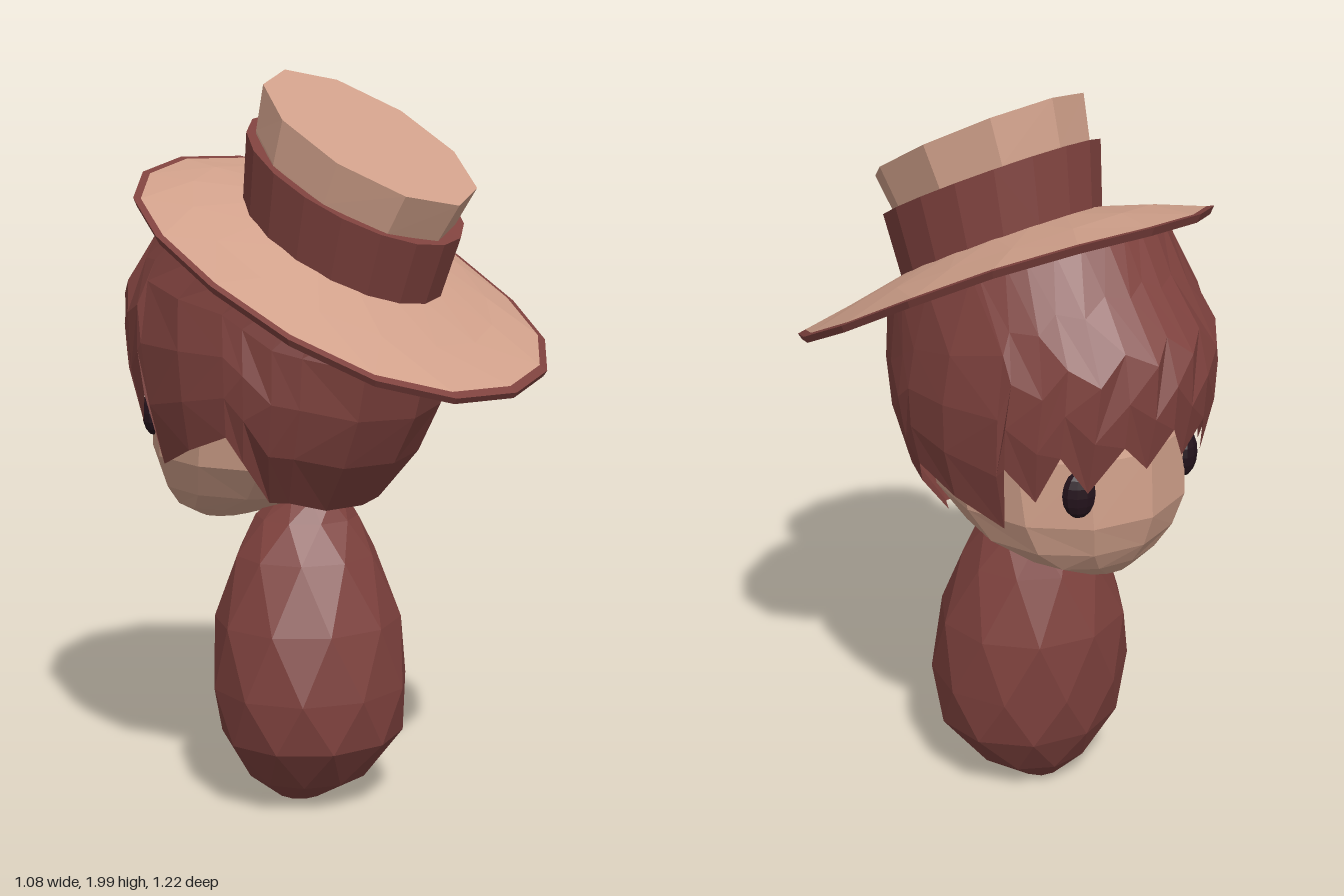
import * as THREE from 'three';

const material = (color) => new THREE.MeshStandardMaterial({ color, flatShading: true, side: THREE.DoubleSide });
const red = material(0x7f423e);
const tan = material(0xd0a08a);
const dark = material(0x24131c);

// Skins a grid of rings (bottom to top, counter-clockwise from above).
function skin(name, rows, mat, capBottom = false, capTop = false) {
  const n = rows[0].length, pos = rows.flat(2), idx = [];
  for (let j = 0; j < rows.length - 1; j++) {
    for (let i = 0; i < n; i++) {
      const a = j * n + i, b = j * n + (i + 1) % n, c = b + n, d = a + n;
      if (j % 2) idx.push(a, b, c, a, c, d);
      else idx.push(a, b, d, b, c, d);
    }
  }
  const cap = (j, up) => {
    const mid = [0, 1, 2].map((k) => rows[j].reduce((s, p) => s + p[k], 0) / n);
    const m = pos.length / 3;
    pos.push(...mid);
    for (let i = 0; i < n; i++) {
      const a = j * n + i, b = j * n + (i + 1) % n;
      idx.push(...(up ? [m, a, b] : [m, b, a]));
    }
  };
  if (capBottom) cap(0, false);
  if (capTop) cap(rows.length - 1, true);
  const geo = new THREE.BufferGeometry();
  geo.setAttribute('position', new THREE.Float32BufferAttribute(pos, 3));
  geo.setIndex(idx);
  geo.computeVertexNormals();
  const mesh = new THREE.Mesh(geo, mat);
  mesh.name = name;
  return mesh;
}

// Elliptical ring; slope raises it towards -z, shift turns it by part of a side.
function ring(n, y, cx, cz, rx, rz, slope = 0, shift = 0, wave = 0) {
  return Array.from({ length: n }, (_, i) => {
    const t = ((i + shift) / n) * Math.PI * 2;
    const z = rz * Math.cos(t);
    return [cx + rx * Math.sin(t), y - slope * z + wave * Math.sin(3 * t + 0.6), cz + z];
  });
}

// Piecewise linear lookup in a table of [key, ...values].
function lookup(table, key) {
  let i = 1;
  while (i < table.length - 1 && table[i][0] < key) i++;
  const a = table[i - 1], b = table[i];
  const f = THREE.MathUtils.clamp((key - a[0]) / (b[0] - a[0]), 0, 1);
  return a.slice(1).map((v, k) => v + (b[k + 1] - v) * f);
}

function createBody() {
  // y, cx, cz, rx, rz
  const sections = [
    [0.01, -0.02, -0.08, 0.06, 0.06], [0.08, -0.02, -0.05, 0.17, 0.16],
    [0.2, -0.02, -0.035, 0.265, 0.24], [0.34, -0.02, -0.04, 0.285, 0.26],
    [0.52, -0.015, -0.055, 0.265, 0.25], [0.7, -0.01, -0.065, 0.2, 0.19],
    [0.8, 0, -0.07, 0.14, 0.14], [0.86, 0, -0.05, 0.09, 0.09],
  ];
  const rows = sections.map((s, j) => ring(10, ...s, 0, (j % 2) * 0.5));
  return skin('body', rows, red, true, true);
}

function createHead() {
  const head = new THREE.Group();
  head.name = 'head';
  const sections = [
    [0.775, 0, -0.35, 0.09, 0.07], [0.82, 0, -0.3, 0.2, 0.16], [0.88, 0, -0.22, 0.28, 0.28],
    [0.97, 0, -0.18, 0.325, 0.35], [1.15, 0, -0.15, 0.34, 0.37], [1.4, 0, -0.15, 0.28, 0.28],
  ];
  head.add(skin('face', sections.map((s) => ring(12, ...s)), tan, true, true));
  for (const side of [-1, 1]) {
    const eye = new THREE.Mesh(new THREE.SphereGeometry(1, 10, 8), dark);
    eye.name = side > 0 ? 'leftEye' : 'rightEye';
    eye.scale.set(0.045, 0.065, 0.03);
    eye.position.set(side * 0.19, 1.07, -0.455);
    eye.rotation.y = -side * 0.45;
    head.add(eye);
  }
  return head;
}

function createHair() {
  // Ragged hem: angle from the +z side, height
  const hem = [
    [0, 0.85], [28, 0.85], [50, 0.88], [60, 0.88], [70, 1.0], [77, 1.07], [95, 1.02], [116, 0.96],
    [119, 1.15], [130, 1.06], [138, 1.2], [149, 1.09], [160, 1.22], [171, 1.14], [180, 1.24],
  ];
  // Outline: y, cz, rx, rz
  const outline = [
    [0.85, -0.16, 0.25, 0.28], [0.95, -0.15, 0.345, 0.36], [1.1, -0.135, 0.39, 0.425],
    [1.25, -0.135, 0.41, 0.465], [1.42, -0.15, 0.39, 0.46], [1.69, -0.1, 0.3, 0.3],
  ];
  const mirrored = hem.slice(1, -1).reverse().map(([a, y]) => [360 - a, y]);
  const columns = [...hem, ...mirrored].map(([deg, low]) => {
    const t = THREE.MathUtils.degToRad(deg), s = Math.sin(t), c = Math.cos(t);
    const topZ = -0.04 + 0.36 * c;
    const top = [0.36 * s, 1.495 - 0.5 * (topZ - 0.05), topZ];
    const points = [0, 0.25, 0.5, 0.75].map((k) => {
      const y = low + (top[1] - low) * k;
      const [cz, rx, rz] = lookup(outline, y);
      return [rx * s, y, cz + rz * c];
    });
    return [...points, top];
  });
  const rows = [0, 1, 2, 3, 4].map((j) => columns.map((col) => col[j]));
  return skin('hair', rows, red);
}

function createHat() {
  const hat = new THREE.Group();
  hat.name = 'hat';
  const n = 16;
  // Brim: dark underside and rim, light upper face
  const rim = ring(n, 1.485, 0, 0.05, 0.52, 0.54, 0.5, 0, 0.012);
  hat.add(skin('brimTrim', [
    ring(n, 1.53, 0, 0.055, 0.25, 0.245, 0.56),
    ring(n, 1.46, 0, 0.05, 0.53, 0.55, 0.5, 0, 0.012),
    ring(n, 1.48, 0, 0.05, 0.54, 0.56, 0.5, 0, 0.012),
    rim,
  ], red));
  hat.add(skin('brimTop', [
    rim,
    ring(n, 1.525, 0, 0.05, 0.4, 0.4, 0.53, 0.3),
    ring(n, 1.565, 0, 0.055, 0.25, 0.245, 0.56),
  ], tan));
  // Tilted crown with a wide band
  hat.add(skin('crown', [
    ring(10, 1.56, 0, 0.06, 0.245, 0.24, 0.57),
    ring(10, 1.725, 0, 0.095, 0.255, 0.265, 0.57),
    ring(10, 1.835, 0.01, 0.135, 0.27, 0.285, 0.58),
  ], tan, false, true));
  hat.add(skin('hatBand', [
    ring(18, 1.555, 0, 0.055, 0.265, 0.265, 0.57),
    ring(18, 1.725, 0, 0.095, 0.285, 0.287, 0.55),
    ring(18, 1.72, 0, 0.095, 0.24, 0.245, 0.55),
  ], red));
  return hat;
}

export function createModel() {
  const model = new THREE.Group();
  model.name = 'figure';
  model.add(createBody(), createHead(), createHair(), createHat());
  return model;
}
